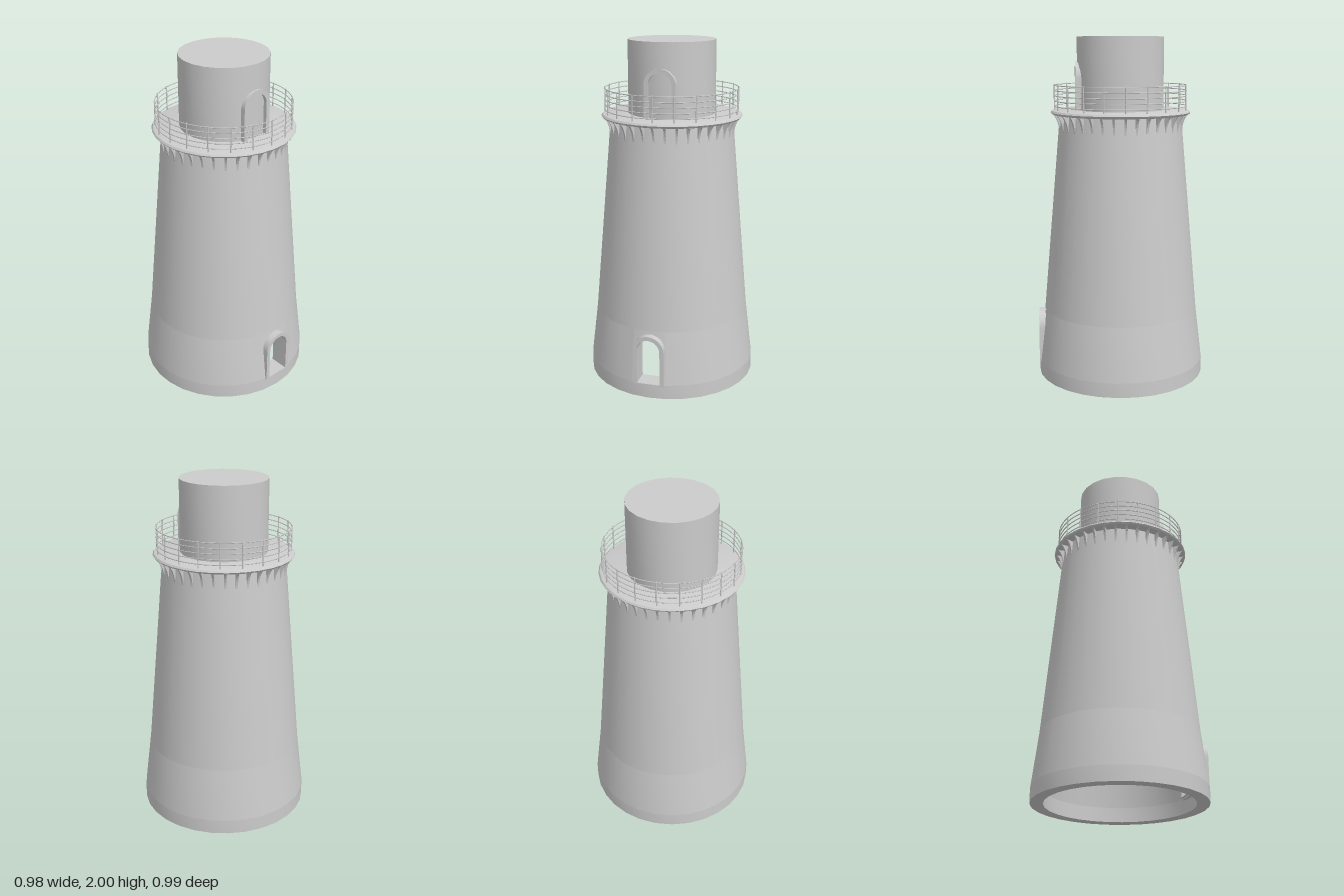
import * as THREE from 'three';
import { toCreasedNormals } from 'three/addons/utils/BufferGeometryUtils.js';

const SIDES = 30;
const STEP = (Math.PI * 2) / SIDES;
const WALL = 0.073;
const SILL = 0.085, PATCH_TOP = 0.4, DECK = 1.583;
const BASE_R = 0.495, PATCH_R = 0.457, TOP_R = 0.355;

const material = new THREE.MeshStandardMaterial({ color: 0xcccccc });

function add(parent, name, geometry) {
  const mesh = new THREE.Mesh(geometry, material);
  mesh.name = name;
  parent.add(mesh);
  return mesh;
}

// Turned part from [radius, y] pairs, keeping hard corners sharp
function turned(pairs, sides = SIDES, start = 0, length = Math.PI * 2) {
  const points = pairs.map(([r, y]) => new THREE.Vector2(r, y));
  return toCreasedNormals(new THREE.LatheGeometry(points, sides, start, length), 0.5);
}

// Adds a round-headed outline to a Shape or Path
function arch(path, halfWidth, bottom, top) {
  const spring = top - halfWidth;
  path.moveTo(-halfWidth, bottom);
  path.lineTo(halfWidth, bottom);
  path.lineTo(halfWidth, spring);
  path.absarc(0, spring, halfWidth, 0, Math.PI, false);
  path.lineTo(-halfWidth, bottom);
  return path;
}

// Arched door surround, open through the middle
function archFrame(bottom, top, depth) {
  const shape = arch(new THREE.Shape(), 0.092, bottom, top);
  const spring = top - 0.092;
  const hole = new THREE.Path();
  hole.moveTo(-0.068, bottom + 0.0005);
  hole.lineTo(-0.068, spring);
  hole.absarc(0, spring, 0.068, Math.PI, 0, true);
  hole.lineTo(0.068, bottom + 0.0005);
  hole.lineTo(-0.068, bottom + 0.0005);
  shape.holes.push(hole);
  const geometry = new THREE.ExtrudeGeometry(shape, { depth, bevelEnabled: false, curveSegments: 12 });
  return toCreasedNormals(geometry, 0.6);
}

// Wall piece around the doorway, bent onto the tapering wall
function doorwayPatch(inset, inward) {
  const radius = (y) => THREE.MathUtils.mapLinear(y, SILL, PATCH_TOP, BASE_R, PATCH_R) - inset;
  const edge = (y) => radius(y) * Math.sin(STEP);
  const shape = new THREE.Shape([
    [-edge(SILL), SILL], [-0.08, SILL], [-0.08, 0.29], [-0.069, 0.33], [-0.04, 0.359], [0, 0.37],
    [0.04, 0.359], [0.069, 0.33], [0.08, 0.29], [0.08, SILL], [edge(SILL), SILL],
    [edge(PATCH_TOP), PATCH_TOP], [0, PATCH_TOP], [-edge(PATCH_TOP), PATCH_TOP],
  ].map(([x, y]) => new THREE.Vector2(x, y)));
  const geometry = new THREE.ShapeGeometry(shape);
  const p = geometry.attributes.position;
  const n = geometry.attributes.normal;
  const sign = inward ? -1 : 1;
  const slope = (BASE_R - PATCH_R) / (PATCH_TOP - SILL);
  for (let i = 0; i < p.count; i++) {
    const x = p.getX(i), r = radius(p.getY(i));
    p.setZ(i, r - Math.abs(x) * Math.tan(STEP / 2));
    const v = new THREE.Vector3(x, slope * r, p.getZ(i)).normalize().multiplyScalar(sign);
    n.setXYZ(i, v.x, v.y, v.z);
  }
  if (inward) geometry.index.array.reverse();
  return geometry;
}

function buildTower() {
  const tower = new THREE.Group();
  tower.name = 'tower';
  const inner = (r) => r - WALL;
  add(tower, 'baseRing', turned([
    [inner(BASE_R), SILL], [inner(BASE_R), 0], [BASE_R, 0], [BASE_R, SILL],
  ]));
  // Lower wall leaves two sides open for the doorway
  const span = Math.PI * 2 - 2 * STEP;
  add(tower, 'lowerWallOutside', turned([[BASE_R, SILL], [PATCH_R, PATCH_TOP]], SIDES - 2, STEP, span));
  add(tower, 'lowerWallInside', turned([[inner(PATCH_R), PATCH_TOP], [inner(BASE_R), SILL]], SIDES - 2, STEP, span));
  add(tower, 'doorwayWallOutside', doorwayPatch(0, false));
  add(tower, 'doorwayWallInside', doorwayPatch(WALL, true));
  add(tower, 'upperWallOutside', turned([[PATCH_R, PATCH_TOP], [TOP_R, 1.56]]));
  add(tower, 'upperWallInside', turned([[inner(TOP_R), 1.56], [inner(PATCH_R), PATCH_TOP]]));

  add(tower, 'lowerDoorFrame', archFrame(SILL, 0.38, 0.11)).position.z = 0.385;
  add(tower, 'doorSill', new THREE.BoxGeometry(0.18, 0.01, 0.09)).position.set(0, SILL - 0.004, 0.445);
  return tower;
}

function buildGallery() {
  const gallery = new THREE.Group();
  gallery.name = 'gallery';
  add(gallery, 'deck', turned([
    [0, 1.555], [0.388, 1.555], [0.402, 1.56], [0.409, 1.569], [0.402, 1.579], [0.39, DECK], [0, DECK],
  ]));

  // Curved brackets under the deck
  const profile = new THREE.Shape();
  profile.moveTo(0.345, 1.46);
  profile.lineTo(0.361, 1.46);
  profile.quadraticCurveTo(0.365, 1.525, 0.396, 1.558);
  profile.lineTo(0.345, 1.558);
  const bracket = new THREE.ExtrudeGeometry(profile, { depth: 0.012, bevelEnabled: false, curveSegments: 5 });
  bracket.translate(0, 0, -0.006);
  const BRACKETS = 36;
  for (let i = 0; i < BRACKETS; i++) {
    add(gallery, 'bracket', bracket).rotation.y = (i / BRACKETS) * Math.PI * 2;
  }

  // Railing of slim posts and hoops
  const R = 0.385;
  const post = new THREE.CylinderGeometry(0.004, 0.004, 0.15, 6);
  const POSTS = 20;
  for (let i = 0; i < POSTS; i++) {
    const a = (i / POSTS) * Math.PI * 2;
    add(gallery, 'railPost', post).position.set(R * Math.sin(a), DECK + 0.072, R * Math.cos(a));
  }
  const hoop = new THREE.TorusGeometry(R, 0.003, 5, 60);
  hoop.rotateX(Math.PI / 2);
  for (const y of [1.605, 1.635, 1.665, 1.695, 1.725]) {
    add(gallery, 'railHoop', hoop).position.y = y;
  }
  return gallery;
}

function buildTopRoom() {
  const room = new THREE.Group();
  room.name = 'topRoom';
  add(room, 'drum', turned([[0.253, DECK - 0.01], [0.253, 2], [0, 2]], 22));
  add(room, 'upperDoorFrame', archFrame(DECK - 0.005, 1.858, 0.04)).position.set(0.005, 0, 0.224);
  return room;
}

export function createModel() {
  const model = new THREE.Group();
  model.name = 'lighthouse';
  model.add(buildTower(), buildGallery(), buildTopRoom());
  return model;
}
